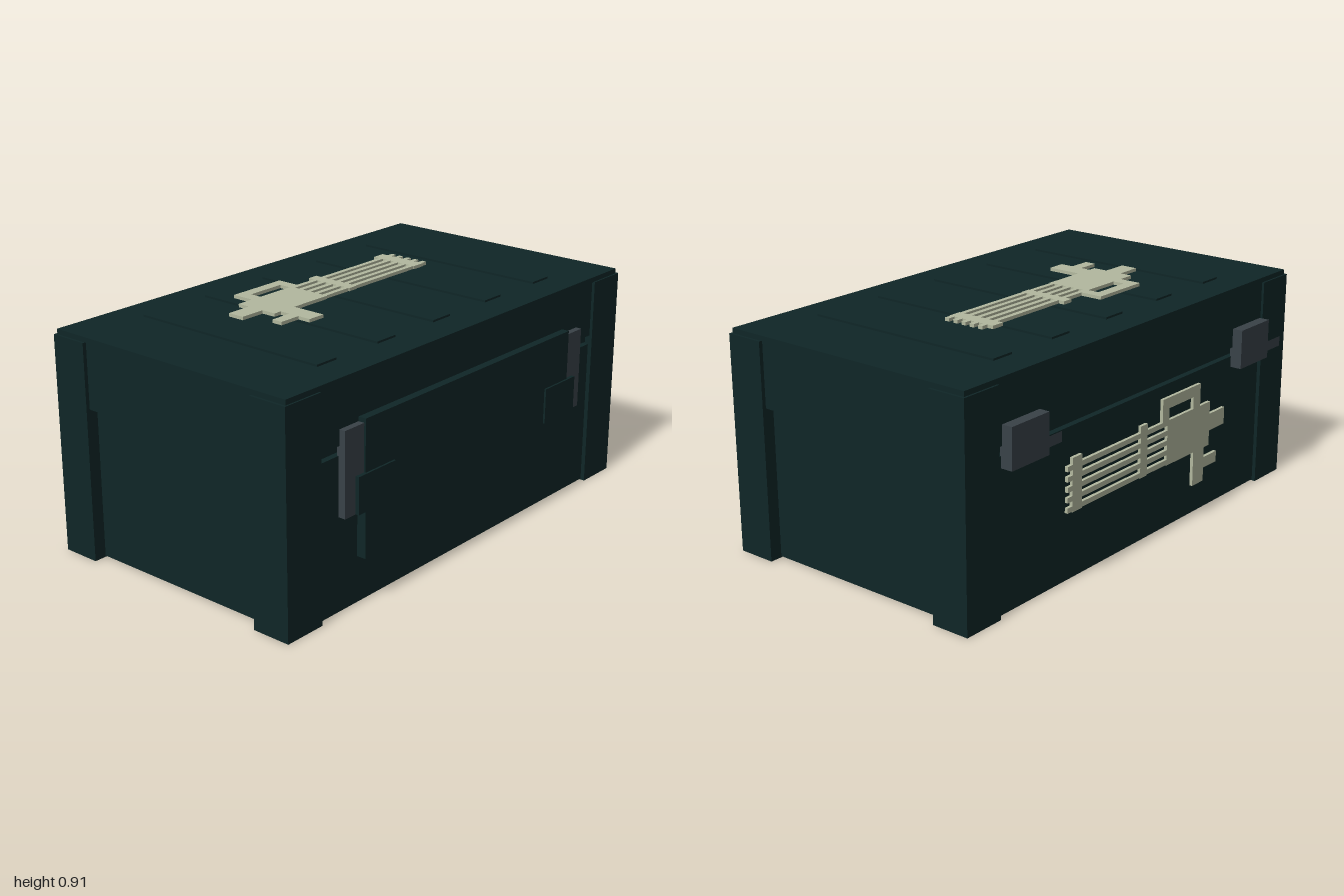
import * as THREE from 'three';

const mat = (name, color, side = THREE.FrontSide) => {
  const m = new THREE.MeshStandardMaterial({ color, side });
  m.name = name;
  return m;
};

export function createModel() {
  const crate = new THREE.Group();
  crate.name = 'crate';
  const green = mat('darkGreen', 0x0f2627);
  const grey = mat('steelGrey', 0x394248);
  const cream = mat('paleOlive', 0xb3b99f);

  // Box given by its minimum and maximum on each axis
  const box = (name, m, x0, x1, y0, y1, z0, z1, parent = crate) => {
    const mesh = new THREE.Mesh(new THREE.BoxGeometry(x1 - x0, y1 - y0, z1 - z0), m);
    mesh.position.set((x0 + x1) / 2, (y0 + y1) / 2, (z0 + z1) / 2);
    mesh.name = name;
    parent.add(mesh);
    return mesh;
  };

  // Lower box and lid, with a narrow gap between them
  box('body', green, -0.95, 0.95, 0.005, 0.597, -0.525, 0.575);
  box('lidRim', green, -0.985, 0.985, 0.603, 0.635, -0.51, 0.56);
  box('lid', green, -0.985, 0.985, 0.635, 0.86, -0.53, 0.58);
  box('lidTop', green, -0.99, 0.99, 0.86, 0.88, -0.532, 0.585);
  for (let i = -2; i <= 2; i++)
    box('lidRib', green, i * 0.32 - 0.05, i * 0.32 + 0.05, 0.88, 0.888, -0.4, 0.455);

  // Corner posts
  for (const s of [-1, 1]) {
    const [a, b] = s > 0 ? [0.825, 1] : [-1, -0.825];
    box('frontPost', green, a, b, 0, 0.86, 0.433, 0.592);
    box('backPost', green, a, b, 0, 0.86, -0.54, -0.383);
  }

  // Front panel and its two latches
  box('frontPanel', green, -0.62, 0.62, 0.185, 0.712, 0.57, 0.612);
  for (const s of [-1, 1]) {
    const span = (a, b) => (s > 0 ? [a, b] : [-b, -a]);
    box('latchBar', grey, ...span(0.615, 0.72), 0.37, 0.695, 0.57, 0.605);
    box('latchPlate', green, ...span(0.465, 0.665), 0.37, 0.513, 0.6, 0.62);
  }

  // Back hinges, each with a thin strip standing off behind it
  for (const x of [-0.72, 0.7]) {
    box('hinge', grey, x - 0.1, x + 0.1, 0.553, 0.712, -0.573, -0.52);
    const strip = new THREE.Mesh(new THREE.PlaneGeometry(0.22, 0.04), grey);
    strip.name = 'hingeStrip';
    strip.rotation.y = Math.PI;
    strip.position.set(x, 0.63, -0.62);
    crate.add(strip);
  }

  // Rotary gun silhouette, drawn upright in x and y
  const emblem = (name) => {
    const g = new THREE.Group();
    g.name = name;
    const T = 0.0065;
    const part = (n, x0, x1, y0, y1) => box(n, cream, x0, x1, y0, y1, -T, T, g);
    part('gunRear', -0.525, -0.42, 0.05, 0.12);
    part('gunBody', -0.42, -0.13, -0.01, 0.172);
    part('carryHandle', -0.35, -0.097, 0.22, 0.264);
    part('handleLeg', -0.35, -0.303, 0.172, 0.22);
    part('handleLeg', -0.14, -0.097, 0.172, 0.22);
    part('gunGrip', -0.387, -0.313, -0.152, -0.01);
    part('gripTip', -0.477, -0.387, -0.097, -0.052);
    for (let i = 0; i < 5; i++) {
      const y = -0.006 + i * 0.0395;
      for (const [a, b] of [[-0.13, 0], [0.043, 0.4], [0.455, 0.483]])
        part('gunBarrel', a, b, y, y + 0.02);
    }
    part('barrelBand', 0, 0.043, -0.01, 0.198);
    part('barrelBand', 0.4, 0.455, -0.01, 0.198);
    crate.add(g);
    return g;
  };
  const top = emblem('topEmblem');
  top.rotation.x = -Math.PI / 2;
  top.position.y = 0.905;
  emblem('backEmblem').position.set(0, 0.298, -0.557);

  return crate;
}
